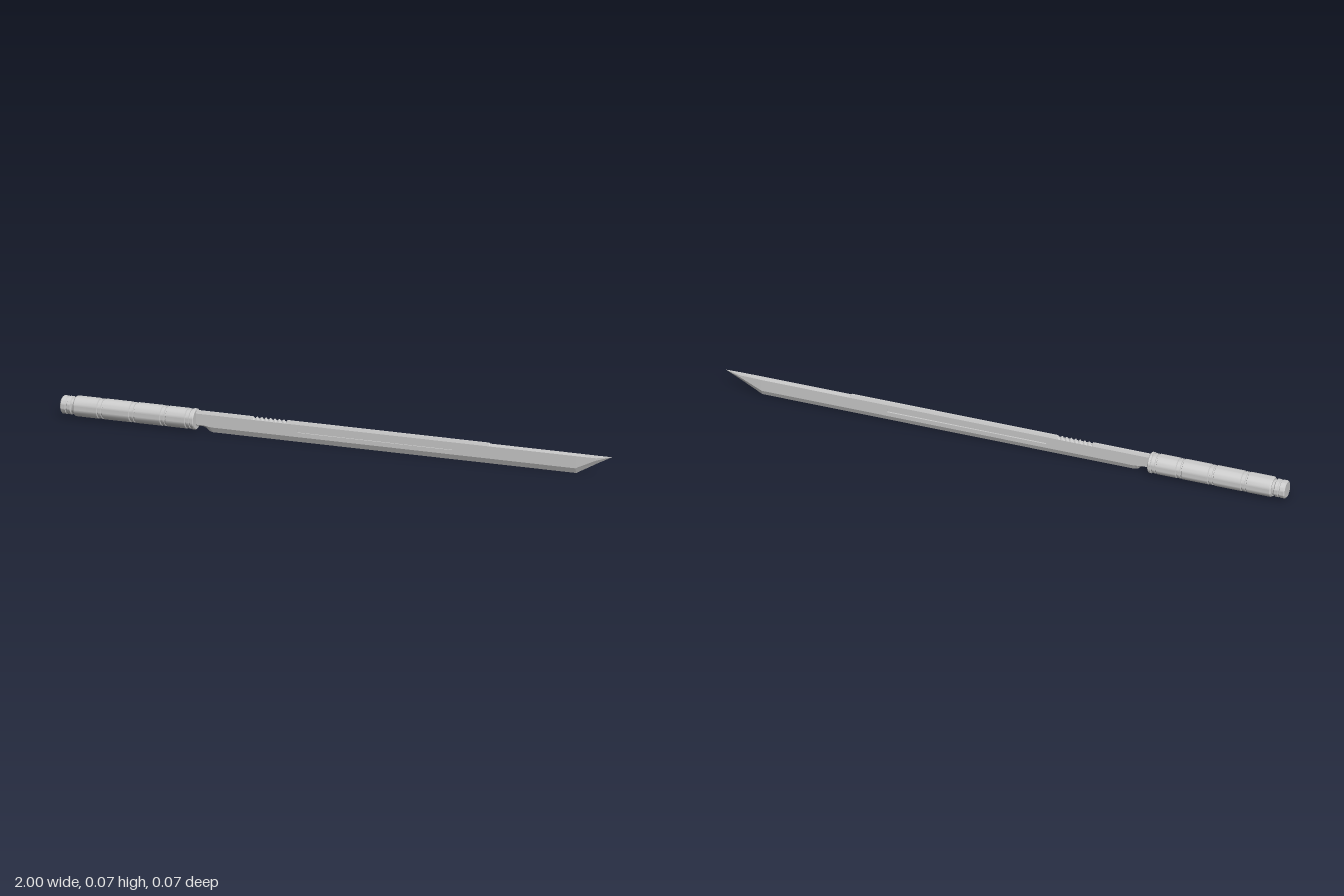
import * as THREE from 'three';
import { toCreasedNormals } from 'three/addons/utils/BufferGeometryUtils.js';

const AXIS_Y = 0.039;

// Turned part along x; profile is [x, radius] from the pommel towards the tip
function turned(name, profile, material) {
  const points = profile.map(([x, r]) => new THREE.Vector2(r, x));
  const geometry = toCreasedNormals(new THREE.LatheGeometry(points, 32), 0.5);
  const mesh = new THREE.Mesh(geometry, material);
  mesh.name = name;
  mesh.rotation.z = -Math.PI / 2;
  mesh.position.y = AXIS_Y;
  return mesh;
}

// Blade section: edge, bevel, groove, flat, spine; mirrored over z
function bladeSection({ bottom, bevel, top, t, groove }) {
  const shoulder = Math.max(bevel, Math.min(0.06, top));
  const g0 = Math.min(Math.max(0.033, bevel), shoulder);
  const g1 = Math.min(Math.max(0.045, bevel), shoulder);
  const side = [
    [bevel, t], [g0, t], [g0, t - groove], [g1, t - groove],
    [g1, t], [shoulder, t], [top, t * 0.5],
  ];
  return [[bottom, 0], ...side, ...side.map(([y, z]) => [y, -z]).reverse()];
}

function bladeGeometry() {
  const base = { bottom: 0, bevel: 0.018, top: 0.07, t: 0.008, groove: 0 };
  const stations = [];
  const add = (x, change = {}) => stations.push({ ...base, ...change, x });

  // Ricasso and finger notch
  add(-0.53, { bottom: 0.017, bevel: 0.022 });
  add(-0.49, { bottom: 0.017, bevel: 0.022 });
  add(-0.478, { bottom: 0.012, bevel: 0.021 });
  add(-0.468, { bottom: 0.003, bevel: 0.019 });
  add(-0.455);

  // Thumb serrations on the spine
  const teeth = 8, pitch = 0.016;
  for (let i = 0; i < teeth; i++) {
    const x = -0.31 + i * pitch;
    add(x);
    add(x + pitch * 0.25, { top: 0.065 });
    add(x + pitch * 0.6, { top: 0.065 });
    add(x + pitch * 0.85);
  }

  // Long groove in both faces
  add(-0.145);
  add(-0.145, { groove: 0.005 });
  add(0.42, { groove: 0.005 });
  add(0.42);

  // Spine step and slanted point
  add(0.548);
  add(0.552, { top: 0.067 });
  add(0.865, { top: 0.067 });
  add(0.94, { bottom: 0.04, bevel: 0.052, top: 0.067, t: 0.006 });
  add(0.995, { bottom: 0.068, bevel: 0.068, top: 0.068, t: 0 });

  const positions = [], indices = [];
  let n = 0;
  for (const s of stations) {
    const ring = bladeSection(s);
    n = ring.length;
    for (const [y, z] of ring) positions.push(s.x, y, z);
  }
  for (let i = 0; i < stations.length - 1; i++) {
    for (let j = 0; j < n; j++) {
      const a = i * n + j, b = i * n + (j + 1) % n;
      indices.push(a, a + n, b, b, a + n, b + n);
    }
  }
  const geometry = new THREE.BufferGeometry();
  geometry.setAttribute('position', new THREE.Float32BufferAttribute(positions, 3));
  geometry.setIndex(indices);
  const flat = geometry.toNonIndexed();
  flat.computeVertexNormals();
  return flat;
}

export function createModel() {
  const group = new THREE.Group();
  group.name = 'sword';
  const material = new THREE.MeshStandardMaterial({ color: 0xcccccc });
  const bladeMaterial = new THREE.MeshStandardMaterial({ color: 0xcccccc, flatShading: true });

  const blade = new THREE.Mesh(bladeGeometry(), bladeMaterial);
  blade.name = 'blade';
  group.add(blade);

  // Pommel with two ring grooves
  group.add(turned('pommel', [
    [-1, 0], [-1, 0.027], [-0.996, 0.031], [-0.982, 0.031], [-0.98, 0.028],
    [-0.976, 0.028], [-0.974, 0.031], [-0.964, 0.031], [-0.961, 0.026], [-0.945, 0.026],
  ], material));

  // Grip with four grooves, each holding a small inner ring
  const grip = [[-0.953, 0], [-0.953, 0.031], [-0.948, 0.035]];
  for (const x of [-0.855, -0.738, -0.625, -0.535]) {
    grip.push(
      [x - 0.011, 0.035], [x - 0.009, 0.031], [x - 0.005, 0.031], [x - 0.004, 0.034],
      [x + 0.004, 0.034], [x + 0.005, 0.031], [x + 0.009, 0.031], [x + 0.011, 0.035],
    );
  }
  grip.push([-0.522, 0.035], [-0.522, 0]);
  group.add(turned('grip', grip, material));

  // Collar where the blade enters the handle
  group.add(turned('collar', [
    [-0.524, 0], [-0.524, 0.036], [-0.517, 0.036], [-0.514, 0.033], [-0.514, 0],
  ], material));

  return group;
}
